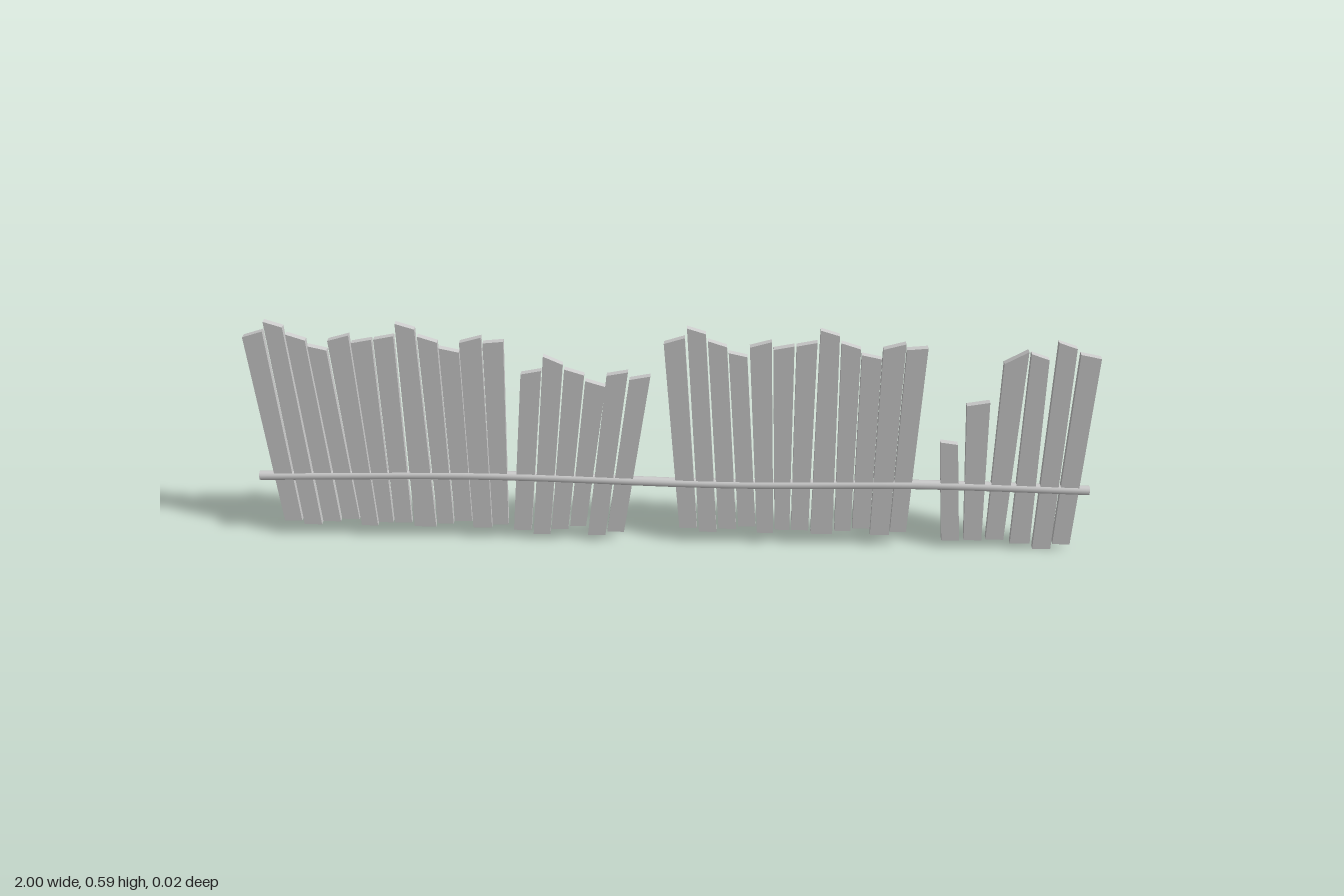
import * as THREE from 'three';

const material = new THREE.MeshStandardMaterial({ color: 0xcccccc, flatShading: true });
const THICK = 0.015;

// Each plank, in hundredths: top left x, top right x, bottom left x, bottom right x,
// top left y, top right y, bottom y
const tallPlanks = [
  [-29.9, -25.1, -26.2, -21.9, 55.1, 56.7, 4.2],
  [-24.6, -20.3, -21.4, -17.1, 59.2, 57.8, 3.2],
  [-19.8, -15.4, -16.6, -12.3, 56, 54.5, 4.2],
  [-15, -10.7, -11.8, -7.6, 53, 52, 5],
  [-10.2, -5.2, -7.2, -3.2, 54.5, 56, 3.2],
  [-4.8, 0, -2.9, 0.7, 54, 55, 4.2],
  [0.5, 5.2, 1.1, 5.3, 55, 56, 4.2],
  [5.8, 10.2, 5.9, 11.2, 59.2, 57.8, 3.2],
  [10.7, 15.2, 11.7, 15.6, 56, 54.5, 4.2],
  [15.5, 20.1, 16, 20.2, 53, 52, 5],
  [20.3, 25.4, 20.4, 25, 54.5, 56, 3.2],
  [25.7, 30.5, 25.2, 29.1, 54.5, 55, 4.2],
];
const leaningPlanks = [
  [-13.4, -8.6, -17.1, -12.8, 46.5, 47.5, 2.7],
  [-8, -3.5, -12.3, -8.2, 51.3, 49.2, 1.6],
  [-3.2, 1.4, -7.8, -3.7, 48, 46.5, 3.2],
  [1.6, 6.3, -3.2, 0.7, 45, 43.5, 4.2],
  [6.6, 11.6, 1.1, 5.4, 46.5, 47.5, 1.6],
  [11.9, 16.8, 5.9, 10, 45.5, 46.5, 2.7],
];
const brokenPlanks = [
  [-17.6, -13.4, -15, -10.7, 30, 29.4, 2],
  [-12.3, -7, -9.6, -5.3, 40, 41, 2.2],
  [-4.8, 0.5, -4.3, 0, 51.3, 54.5, 2.5],
  [1.1, 5.3, 1.7, 6.5, 54, 52.5, 1.5],
  [7, 11.3, 7.3, 11.7, 57, 55.5, 0],
  [12.3, 17.1, 12, 16.2, 54, 53, 1.5],
];

// One board with a slanted, roughly cut top
function plank([tl, tr, bl, br, yl, yr, yb]) {
  const corners = [[bl, yb], [br, yb], [tr, yr], [tl, yl]];
  const shape = new THREE.Shape(corners.map(([x, y]) => new THREE.Vector2(x / 100, y / 100)));
  const geometry = new THREE.ExtrudeGeometry(shape, { depth: THICK, bevelEnabled: false });
  geometry.translate(0, 0, -0.0085);
  const mesh = new THREE.Mesh(geometry, material);
  mesh.name = 'plank';
  return mesh;
}

function panel(name, x, planks) {
  const group = new THREE.Group();
  group.name = name;
  group.position.x = x;
  planks.forEach((p) => group.add(plank(p)));
  return group;
}

// Long, slightly wavy round pole with closed ends
function makeRail() {
  const rail = new THREE.Group();
  rail.name = 'rail';
  const radius = 0.0115, sides = 12;
  const curve = new THREE.CatmullRomCurve3([
    [-1, 0.169], [-0.47, 0.181], [0.14, 0.169], [0.6, 0.177], [1, 0.169],
  ].map(([x, y]) => new THREE.Vector3(x, y, 0)));
  const smooth = new THREE.MeshStandardMaterial({ color: 0xcccccc });
  const pole = new THREE.Mesh(new THREE.TubeGeometry(curve, 24, radius, sides), smooth);
  pole.name = 'pole';
  rail.add(pole);
  for (const side of [-1, 1]) {
    const cap = new THREE.Mesh(new THREE.CircleGeometry(radius, sides), smooth);
    cap.name = 'poleEnd';
    cap.position.set(side, 0.169, 0);
    cap.rotation.y = side * Math.PI / 2;
    rail.add(cap);
  }
  return rail;
}

export function createModel() {
  const fence = new THREE.Group();
  fence.name = 'fence';
  fence.add(
    panel('rightPanel', -0.692, tallPlanks),
    panel('leaningPanel', -0.217, leaningPlanks),
    panel('middlePanel', 0.281, tallPlanks),
    panel('brokenPanel', 0.81, brokenPlanks),
    makeRail(),
  );
  return fence;
}
